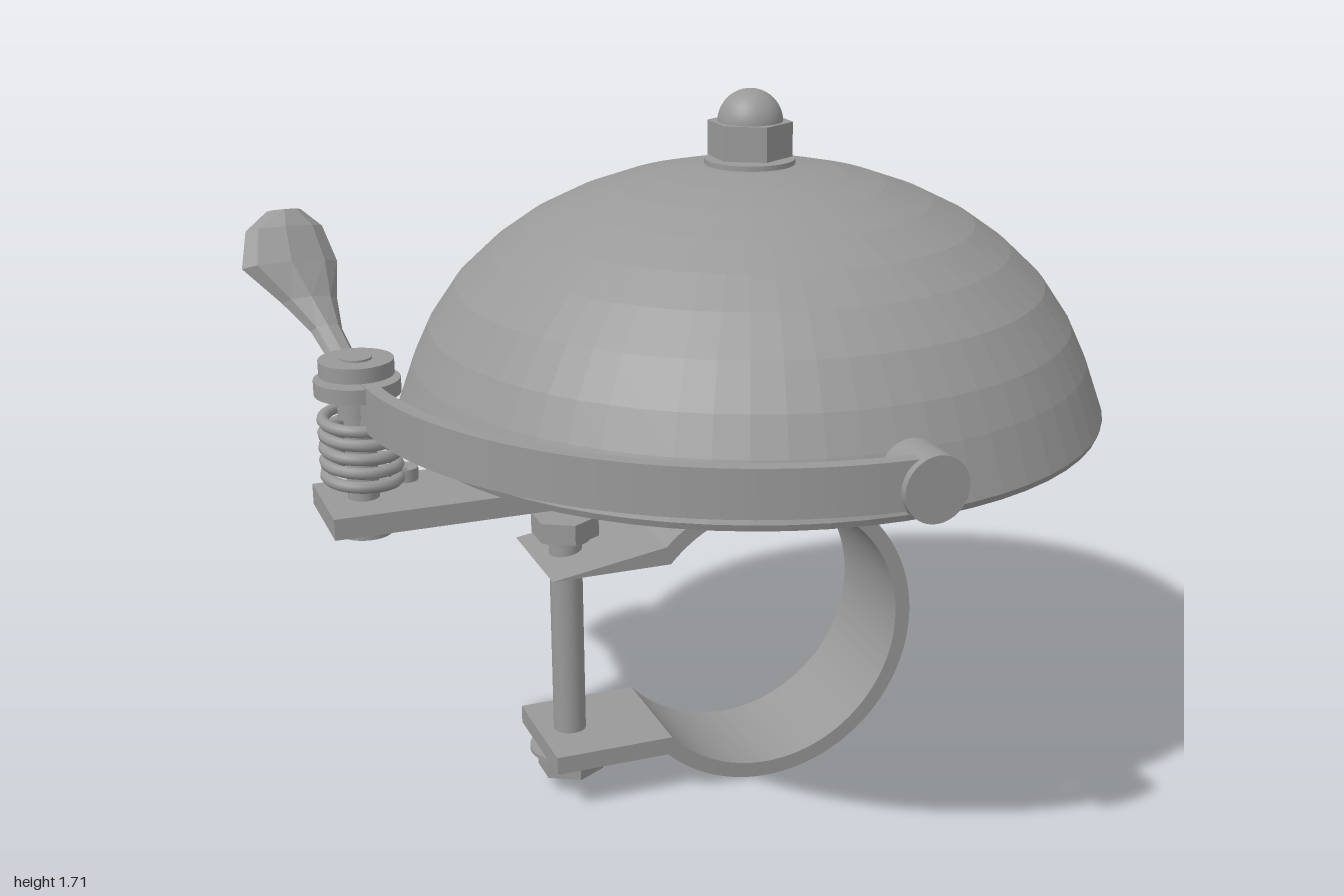
import * as THREE from 'three';

const steel = new THREE.MeshStandardMaterial({ color: 0x999999 });
steel.name = 'steel grey';

const CX = 0.14, CZ = -0.06;      // bell axis
const PX = -0.815;                // lever pivot axis
const BX = -0.335;                // clamp bolt axis

// Give every face its own normal
function faceted(geo) {
  const g = geo.index ? geo.toNonIndexed() : geo;
  g.computeVertexNormals();
  return g;
}

// Loft of elliptical rings: each station is [x, y, z, halfWidth, halfThickness]
function loft(stations, sides) {
  const pos = [], idx = [], n = stations.length;
  stations.forEach(([x, y, z, w, t], i) => {
    const a = stations[Math.max(i - 1, 0)], b = stations[Math.min(i + 1, n - 1)];
    const len = Math.hypot(b[1] - a[1], b[2] - a[2]);
    const ty = (b[1] - a[1]) / len, tz = (b[2] - a[2]) / len;
    for (let j = 0; j < sides; j++) {
      const p = (j / sides) * Math.PI * 2, v = Math.sin(p) * t;
      pos.push(x + Math.cos(p) * w, y + tz * v, z - ty * v);
    }
  });
  for (let i = 0; i < n - 1; i++) for (let j = 0; j < sides; j++) {
    const k = (j + 1) % sides, a = i * sides, b = a + sides;
    idx.push(a + j, a + k, b + k, a + j, b + k, b + j);
  }
  const last = (n - 1) * sides;
  for (let j = 1; j < sides - 1; j++) {
    idx.push(0, j + 1, j, last, last + j, last + j + 1);
  }
  const g = new THREE.BufferGeometry();
  g.setAttribute('position', new THREE.Float32BufferAttribute(pos, 3));
  g.setIndex(idx);
  return faceted(g);
}

export function createModel() {
  const model = new THREE.Group();
  model.name = 'bicycleBell';

  function add(name, geo, x = 0, y = 0, z = 0) {
    const m = new THREE.Mesh(geo, steel);
    m.name = name;
    m.position.set(x, y, z);
    model.add(m);
    return m;
  }
  // Upright cylinder and hexagon between two heights
  const rod = (name, x, z, r, y0, y1) =>
    add(name, new THREE.CylinderGeometry(r, r, y1 - y0, 32), x, (y0 + y1) / 2, z);
  const hex = (name, x, z, r, y0, y1) =>
    add(name, faceted(new THREE.CylinderGeometry(r, r, y1 - y0, 6)), x, (y0 + y1) / 2, z);

  // Hollow dome
  const outer = [[0.845, 0.945], [0.85, 0.96], [0.832, 1.01], [0.805, 1.085], [0.765, 1.17],
    [0.70, 1.265], [0.615, 1.345], [0.53, 1.405], [0.43, 1.455], [0.32, 1.495], [0.22, 1.518],
    [0.11, 1.532], [0.0001, 1.535]];
  const inner = outer.map(([r, y]) => [Math.max(r * 0.975, 0.0001), 0.945 + (y - 0.945) * 0.965]).reverse();
  const profile = [...outer, ...inner, outer[0]].map(([r, y]) => new THREE.Vector2(r, y));
  add('bellDome', faceted(new THREE.LatheGeometry(profile, 64)), CX, 0, CZ);

  // Dome nut, washer and central post
  rod('domeWasher', CX, CZ, 0.107, 1.538, 1.55);
  rod('postTip', CX, CZ, 0.06, 1.52, 1.56);
  hex('domeNut', CX, CZ, 0.1, 1.556, 1.637);
  add('nutCap', new THREE.SphereGeometry(0.077, 32, 12, 0, Math.PI * 2, 0, Math.PI / 2), CX, 1.635, CZ);
  rod('centralPost', CX, CZ, 0.073, 0.83, 1.52);

  // Base plate and its spacer
  add('basePlate', new THREE.BoxGeometry(1.235, 0.05, 0.248), -0.2925, 0.81, CZ);
  add('spacer', new THREE.BoxGeometry(0.19, 0.03, 0.212), CX, 0.772, CZ);

  // Handlebar clamp: open ring with two tabs
  const R = 0.386, r = 0.347, cy = 0.386;
  const ao = Math.PI - Math.asin(0.276 / R), ai = Math.PI - Math.asin(0.231 / r);
  const band = new THREE.Shape();
  band.moveTo(-0.415, cy + 0.276);
  band.absarc(CX, cy, R, ao, -ao, true);
  band.lineTo(-0.415, cy - 0.276);
  band.lineTo(-0.415, cy - 0.231);
  band.absarc(CX, cy, r, -ai, ai, false);
  band.lineTo(-0.415, cy + 0.231);
  band.closePath();
  add('clampBand', new THREE.ExtrudeGeometry(band, { depth: 0.3, bevelEnabled: false, curveSegments: 48 }),
    0, 0, CZ - 0.15);

  // Clamp bolt
  rod('clampBolt', BX, CZ, 0.04, 0.06, 0.7);
  rod('boltCollar', BX, CZ, 0.06, 0.66, 0.675);
  hex('boltHead', BX, CZ, 0.083, 0.672, 0.722);
  rod('boltWasher', BX, CZ, 0.1, 0.1, 0.11);
  hex('boltNut', BX, CZ, 0.083, 0.045, 0.1);

  // Lever pivot
  rod('pivotPin', PX, CZ, 0.036, 0.77, 1.17);
  rod('pivotFoot', PX, CZ, 0.064, 0.75, 0.787);
  rod('pivotHub', PX, CZ, 0.048, 1.03, 1.14);
  rod('leverDisc', PX, CZ, 0.098, 1.085, 1.12);
  rod('pivotCap', PX, CZ, 0.085, 1.13, 1.165);

  // Return spring with a tail hooked to a peg
  const coil = [], turns = 5;
  for (let i = 0; i <= turns * 16; i++) {
    const a = (i / 16) * Math.PI * 2 - 0.9;
    coil.push(new THREE.Vector3(PX + Math.cos(a) * 0.082, 0.872 + 0.165 * i / (turns * 16), CZ + Math.sin(a) * 0.082));
  }
  coil.unshift(new THREE.Vector3(-0.7, 0.862, -0.125));
  add('returnSpring', new THREE.TubeGeometry(new THREE.CatmullRomCurve3(coil), 200, 0.014, 8));
  rod('springPeg', -0.7, -0.14, 0.032, 0.83, 0.866);

  // Curved striker arm around the dome
  const arm = new THREE.Shape();
  const a0 = Math.PI * 1.012, a1 = Math.PI * 1.5;
  arm.absarc(0, 0, 0.962, a0, a1, false);
  arm.absarc(0, 0, 0.929, a1, a0, true);
  arm.closePath();
  const armGeo = new THREE.ExtrudeGeometry(arm, { depth: 0.108, bevelEnabled: false, curveSegments: 32 });
  armGeo.rotateX(-Math.PI / 2);
  add('strikerArm', armGeo, CX, 1.016, CZ);

  // Striker head
  const head = add('strikerHead', new THREE.CylinderGeometry(0.073, 0.073, 0.118, 32), CX, 1.06, 0.859);
  head.rotation.x = Math.PI / 2;

  // Thumb lever: thin neck swelling into a paddle
  add('thumbLever', loft([
    [-0.815, 1.102, -0.12, 0.038, 0.018],
    [-0.81, 1.11, -0.22, 0.032, 0.02],
    [-0.83, 1.165, -0.31, 0.037, 0.025],
    [-0.855, 1.225, -0.365, 0.065, 0.032],
    [-0.888, 1.305, -0.41, 0.112, 0.036],
    [-0.89, 1.385, -0.445, 0.09, 0.03],
    [-0.885, 1.425, -0.462, 0.04, 0.016],
  ], 8));

  return model;
}
